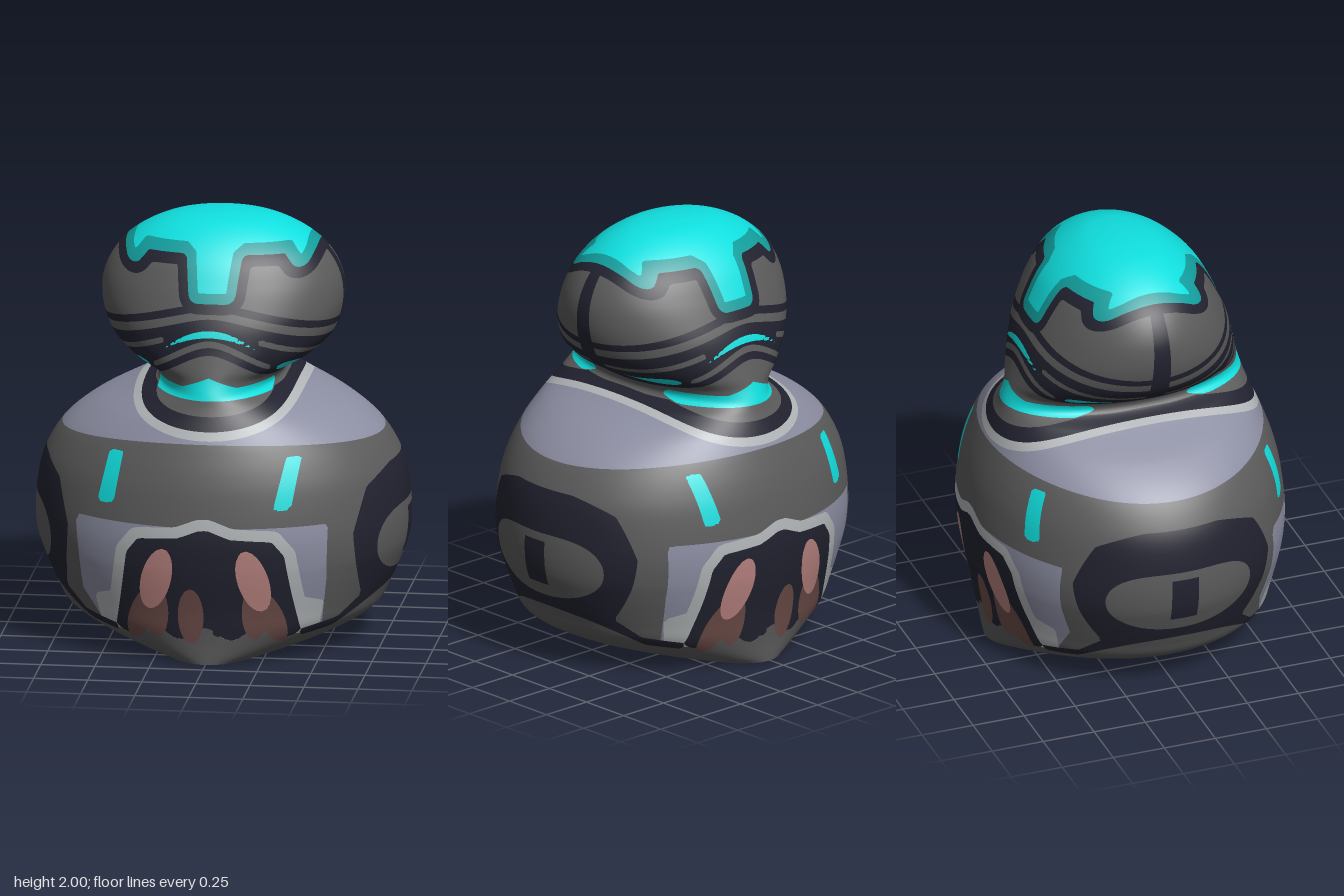
import * as THREE from 'three';

const paint = (name, color) => {
  const m = new THREE.MeshStandardMaterial({ color, side: THREE.DoubleSide });
  m.name = name;
  return m;
};

// Profile: [half width, height, half depth] of the elliptical sections
const PROFILE = [
  [.30, 0, .66], [.44, .035, .663], [.60, .095, .668], [.72, .17, .678], [.765, .25, .69],
  [.83, .40, .72], [.856, .48, .732], [.865, .6, .74], [.84, .8, .72], [.80, .9, .698],
  [.73, 1, .665], [.60, 1.1, .625], [.40, 1.195, .588], [.29, 1.25, .572], [.31, 1.295, .558],
  [.42, 1.355, .542], [.51, 1.44, .52], [.55, 1.54, .495], [.56, 1.63, .46], [.545, 1.72, .42],
  [.49, 1.82, .365], [.39, 1.905, .285], [.25, 1.97, .18], [.12, 1.994, .085], [.001, 2, .001],
];
const NECK = 13; // profile index where the head meets the body

// Painted areas are functions of (x, y) that are positive inside
function polygon(pts) {
  return (x, y) => {
    let best = Infinity, inside = false;
    pts.forEach(([ax, ay], i) => {
      const [bx, by] = pts[(i + 1) % pts.length];
      const ex = bx - ax, ey = by - ay;
      const t = THREE.MathUtils.clamp(((x - ax) * ex + (y - ay) * ey) / (ex * ex + ey * ey), 0, 1);
      best = Math.min(best, Math.hypot(x - ax - ex * t, y - ay - ey * t));
      if ((ay > y) !== (by > y) && x < ax + ex * (y - ay) / ey) inside = !inside;
    });
    return inside ? best : -best;
  };
}
const mirror = area => (x, y) => area(Math.abs(x), y);
const grow = (area, by) => (x, y) => area(x, y) + by;
const both = (a, b) => (x, y, side) => Math.min(a(x, y, side), b(x, y, side));
const ellipse = (cx, cy, rx, ry, tilt = 0) => (x, y) => {
  const c = Math.cos(tilt), s = Math.sin(tilt), u = x - cx, v = y - cy;
  return (1 - Math.hypot((u * c - v * s) / rx, (u * s + v * c) / ry)) * Math.min(rx, ry);
};
// Symmetric band between two curves, for |x| from x0 to x1
const band = (top, bottom, x1 = 1, x0 = -1) => mirror((x, y) =>
  Math.min(top(x) - y, y - bottom(x), x1 - x, x - x0));
const flat = y => () => y;
const parabola = (y, k) => x => y - k * x * x;
const tent = (y, slope) => x => y - slope * (Math.hypot(x, .1) - .1);
// Slanted chest bar
const bar = x => polygon([[x - .04, .743], [x + .04, .743], [x + .08, .98], [x + .013, .98]]);
// Thin seam along the sides
const seam = (y0, y1) => (x, y, side) => (y > y0 && y < y1 ? Math.abs(side) - .996 : -1);

const crown = mirror(polygon([[-1, 1.7], [.065, 1.7], [.085, 1.87], [.13, 1.905],
  [.335, 1.9], [.385, 1.84], [.4, 1.87], [.4, 2.1], [-1, 2.1]]));
const belly = mirror(polygon([[-1, .655], [.02, .655], [.12, .615], [.31, .6], [.365, .53],
  [.395, .33], [.43, .13], [.43, -1], [-1, -1]]));
const panel = polygon([[-.62, .665], [.555, .665], [.545, .4], [.51, .13], [-.47, .13], [-.59, .3]]);
const rimFoot = mirror(polygon([[.42, .33], [.53, .29], [.5, .15], [.4, .13]]));
const sideArch = mirror(polygon([[.95, .88], [.79, .87], [.71, .8], [.66, .6], [.68, .28],
  [.58, .19], [.42, .155], [.42, .12], [.55, .145], [.73, .26], [.95, .38]]));
const drippingEdge = (x, y) => y - .15 - .03 * Math.cos(26 * x);

// Later layers lie on top
const layers = [
  // shoulder yoke and collar
  ['lavender', band(parabola(1.25, 0), parabola(1.04, .1))],
  ['lightGrey', ellipse(0, 1.235, .4, .18)],
  ['navy', ellipse(0, 1.235, .355, .14)],
  ['grey', ellipse(0, 1.235, .27, .075)],
  // underside of the head, neck and its stripes
  ['navy', band(tent(1.59, .32), flat(1.265))],
  ['grey', band(tent(1.43, .68), flat(1.235), .3)],
  ['grey', band(tent(1.495, .65), tent(1.465, .65), .27)],
  ['grey', band(tent(1.558, .41), tent(1.53, .41), .5, .22)],
  ['cyan', band(parabola(1.54, 2), parabola(1.508, 1.4), .235)],
  ['cyan', band(x => Math.max(1.28, 1.33 - .4 * x), flat(1.228), .265)],
  ['cyan', mirror(ellipse(.34, 1.342, .05, .026))],
  // brow line, crown and its borders
  ['navy', band(tent(1.66, .3), tent(1.625, .3))],
  ['navy', grow(crown, .09)],
  ['teal', grow(crown, .045)],
  ['cyan', crown],
  // chest bars
  ['cyan', bar(-.47)],
  ['cyan', bar(.353)],
  // belly panel with light rim and dark middle
  ['lavender', both(panel, drippingEdge)],
  ['lightGrey', both(grow(belly, .052), drippingEdge)],
  ['lightGrey', rimFoot],
  ['navy', both(belly, drippingEdge)],
  // side arches
  ['navy', sideArch],
  ['grey', mirror(ellipse(.86, .5, .105, .17))],
  ['navy', seam(.4, .66)],
  ['navy', seam(1.36, 1.84)],
  // belly drips and spots
  ['brown', mirror(ellipse(.3, .23, .055, .14, -.35))],
  ['brown', mirror(ellipse(.225, .25, .055, .13))],
  ['brown', ellipse(-.065, .235, .06, .135)],
  ['pink', mirror(ellipse(.225, .41, .07, .155, -.27))],
  ['navy', ellipse(.06, .16, .025, .022)],
].map(([color, area]) => ({ color, test: v => area(v[0], v[1], v[6]) }));

// Cuts a convex face into the part inside a layer and the part outside
function cut(face, test) {
  const d = face.map(test);
  if (d.every(v => v <= 0)) return [null, face];
  if (d.every(v => v >= 0)) return [face, null];
  const inner = [], outer = [];
  face.forEach((a, i) => {
    const k = (i + 1) % face.length, b = face[k];
    if (d[i] >= 0) inner.push(a);
    if (d[i] <= 0) outer.push(a);
    if (d[i] * d[k] < 0) {
      const t = d[i] / (d[i] - d[k]);
      const p = a.map((v, n) => v + (b[n] - v) * t);
      inner.push(p);
      outer.push(p);
    }
  });
  return [inner, outer];
}

// Smooth shell between two profile points; a corner is [position, normal, side]
function shellFaces(from, to) {
  const curve = new THREE.CatmullRomCurve3(PROFILE.map(p => new THREE.Vector3(...p)));
  const COLS = 220, STEPS = 6, rows = [];
  for (let r = from * STEPS; r <= to * STEPS; r++) {
    const t = r / ((PROFILE.length - 1) * STEPS);
    const p = curve.getPoint(t), g = curve.getTangent(t), row = [];
    for (let c = 0; c <= COLS; c++) {
      const a = c / COLS * Math.PI * 2, s = Math.sin(a), k = Math.cos(a);
      const n = new THREE.Vector3(p.x * k, 0, -p.z * s)
        .cross(new THREE.Vector3(g.x * s, g.y, g.z * k)).normalize();
      row.push([p.x * s, p.y, p.z * k, n.x, n.y, n.z, s]);
    }
    rows.push(row);
  }
  const faces = [];
  for (let r = 0; r < rows.length - 1; r++) {
    for (let c = 0; c < COLS; c++) {
      const a = rows[r][c], b = rows[r][c + 1], e = rows[r + 1][c + 1], f = rows[r + 1][c];
      faces.push([a, b, e], [a, e, f]);
    }
  }
  return faces;
}

function paintedShell(name, from, to, materials) {
  const byColor = { grey: [] };
  let rest = shellFaces(from, to);
  for (const { color, test } of [...layers].reverse()) {
    const next = [];
    for (const face of rest) {
      const [inner, outer] = cut(face, test);
      if (inner) (byColor[color] ??= []).push(inner);
      if (outer) next.push(outer);
    }
    rest = next;
  }
  byColor.grey = byColor.grey.concat(rest);

  const group = new THREE.Group();
  group.name = name;
  for (const [color, faces] of Object.entries(byColor)) {
    const pos = [], nor = [];
    for (const f of faces) {
      for (let i = 1; i < f.length - 1; i++) {
        for (const v of [f[0], f[i], f[i + 1]]) {
          pos.push(v[0], v[1], v[2]);
          nor.push(v[3], v[4], v[5]);
        }
      }
    }
    const geo = new THREE.BufferGeometry();
    geo.setAttribute('position', new THREE.Float32BufferAttribute(pos, 3));
    geo.setAttribute('normal', new THREE.Float32BufferAttribute(nor, 3));
    const mesh = new THREE.Mesh(geo, materials[color]);
    mesh.name = `${name} ${materials[color].name} areas`;
    group.add(mesh);
  }
  return group;
}

export function createModel() {
  const materials = {
    grey: paint('grey', 0x5b5b5b),
    navy: paint('navy', 0x222230),
    lavender: paint('lavender', 0x8c8ea2),
    lightGrey: paint('light grey', 0xb2b6b8),
    cyan: paint('cyan', 0x10dede),
    teal: paint('teal', 0x129c9c),
    pink: paint('pink', 0xb98380),
    brown: paint('brown', 0x6c4c48),
  };
  const model = new THREE.Group();
  model.name = 'figure';
  model.add(paintedShell('body', 0, NECK, materials));
  model.add(paintedShell('head', NECK, PROFILE.length - 1, materials));
  return model;
}
